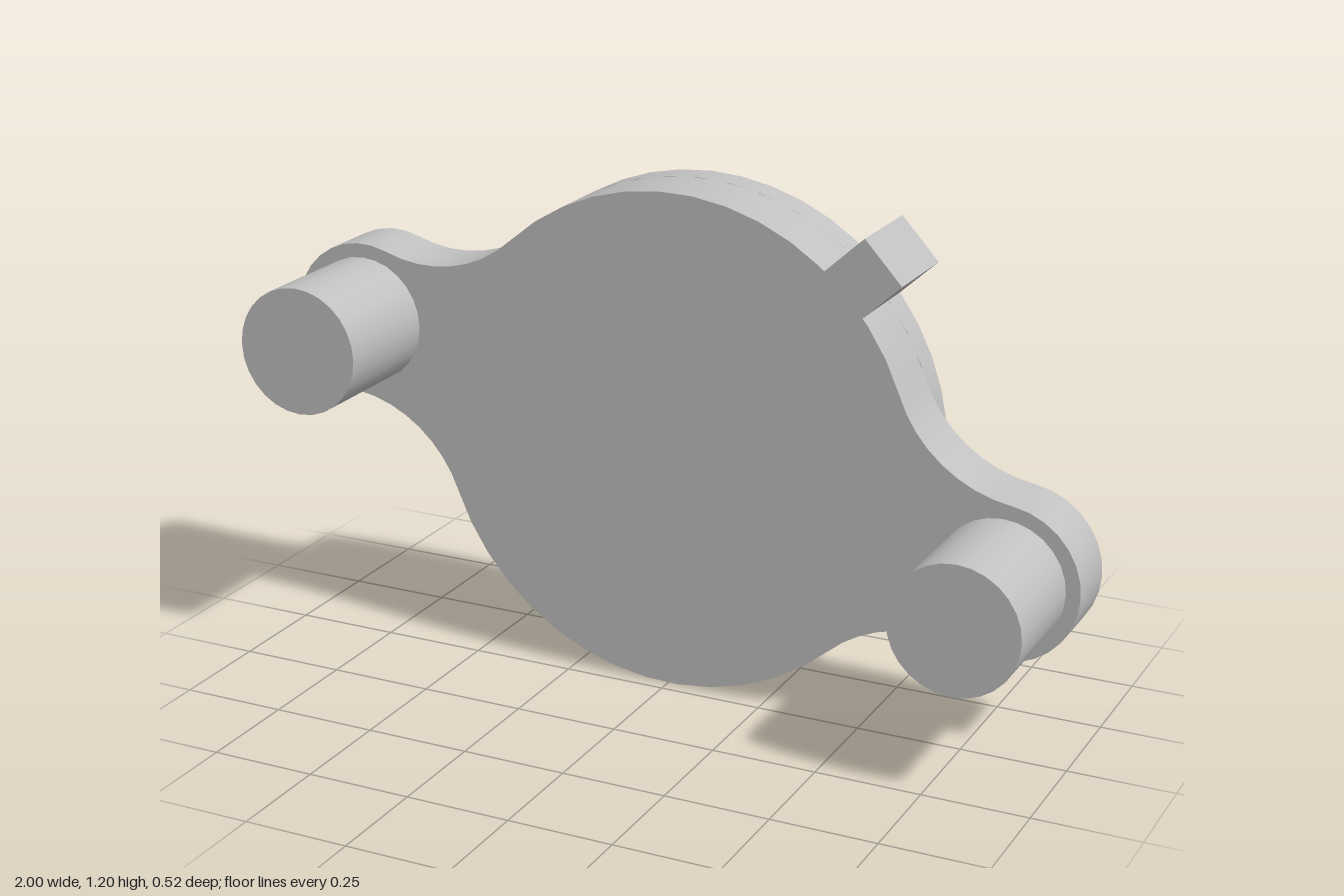
import * as THREE from 'three';
import { toCreasedNormals } from 'three/addons/utils/BufferGeometryUtils.js';

const CY = 0.603;                 // height of the disc centre
const DISC_R = 0.6, EAR_R = 0.187, FILLET_R = 0.33, PIN_R = 0.153;
const EAR = new THREE.Vector2(-0.813, 0.197);   // ear centre relative to the disc
const FRONT = -0.035, STEP = -0.19, BACK = -0.26, PIN_END = 0.26;

const polar = (r, a) => new THREE.Vector2(r * Math.cos(a), r * Math.sin(a));

// Adds an arc from a0 to a1 (turning in direction dir), leaving out its last point.
function addArc(points, centre, r, a0, a1, dir, steps) {
  const turn = 2 * Math.PI;
  const sweep = dir * (((dir * (a1 - a0)) % turn + turn) % turn);
  for (let i = 0; i < steps; i++) points.push(polar(r, a0 + sweep * i / steps).add(centre));
}

// Disc with two opposite ears, blended by tangent fillets.
function flangeOutline() {
  const points = [], d = EAR.length(), reach = DISC_R + FILLET_R;
  const spread = Math.acos((reach ** 2 + d ** 2 - (FILLET_R + EAR_R) ** 2) / (2 * reach * d));
  for (const turn of [0, Math.PI]) {
    const a = EAR.angle() + turn;
    const ear = polar(d, a), f1 = polar(reach, a - spread), f2 = polar(reach, a + spread);
    const toF1 = f1.clone().sub(ear).angle(), toF2 = f2.clone().sub(ear).angle();
    addArc(points, f1, FILLET_R, a - spread + Math.PI, toF1 + Math.PI, -1, 8);
    addArc(points, ear, EAR_R, toF1, toF2, 1, 16);
    addArc(points, f2, FILLET_R, toF2 + Math.PI, a + spread + Math.PI, -1, 8);
    addArc(points, new THREE.Vector2(), DISC_R, a + spread, a + Math.PI - spread, 1, 14);
  }
  return points;
}

export function createModel() {
  const group = new THREE.Group();
  const grey = new THREE.MeshStandardMaterial({ color: 0xc0c0c0 });
  grey.name = 'plain grey';

  const add = (name, geometry, x, y, z) => {
    const mesh = new THREE.Mesh(geometry, grey);
    mesh.name = name;
    mesh.position.set(x, y, z);
    group.add(mesh);
    return mesh;
  };
  const rod = (r, length, sides) => new THREE.CylinderGeometry(r, r, length, sides).rotateX(Math.PI / 2);

  // Eared flange plate
  const plate = new THREE.ExtrudeGeometry(new THREE.Shape(flangeOutline()), {
    depth: FRONT - STEP, bevelEnabled: false,
  });
  add('flange', toCreasedNormals(plate, 0.6), 0, CY, STEP);

  // Raised round back
  add('backDisc', rod(DISC_R, STEP - BACK, 48), 0, CY, (STEP + BACK) / 2);

  // Square key on the rim
  const key = add('rimKey', new THREE.BoxGeometry(0.2, 0.133, FRONT - BACK), 0.444, 1.036, (FRONT + BACK) / 2);
  key.rotation.z = 0.74;

  // Pins on the ears
  for (const [name, s] of [['rightPin', 1], ['leftPin', -1]]) {
    add(name, rod(PIN_R, PIN_END - FRONT, 28), s * EAR.x, CY + s * EAR.y, (PIN_END + FRONT) / 2);
  }
  return group;
}
